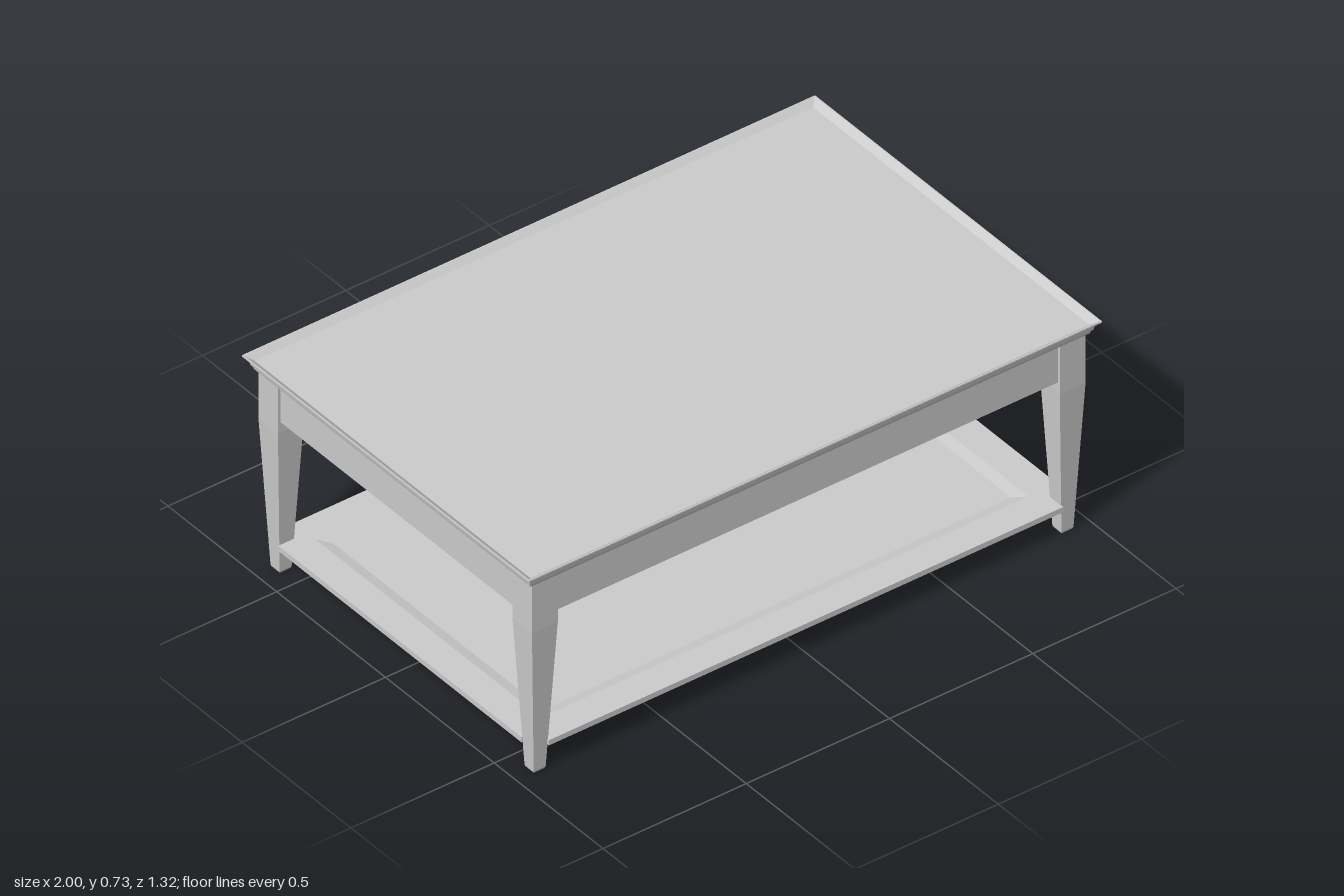
import * as THREE from 'three';

const material = new THREE.MeshStandardMaterial({ color: 0xcccccc, flatShading: true });

// Solid through rectangular rings [halfX, halfZ, y], capped at both ends.
function loftRects(rings) {
  const corners = [[1, 1], [1, -1], [-1, -1], [-1, 1]];
  const pos = [];
  const put = (r, j) => pos.push(corners[j % 4][0] * r[0], r[2], corners[j % 4][1] * r[1]);
  const quad = (a, b, c, d) => [a, b, c, a, c, d].forEach(([r, j]) => put(r, j));
  for (let i = 0; i < rings.length - 1; i++) {
    const lo = rings[i], hi = rings[i + 1];
    for (let j = 0; j < 4; j++) quad([lo, j], [lo, j + 1], [hi, j + 1], [hi, j]);
  }
  const first = rings[0], last = rings[rings.length - 1];
  quad([first, 3], [first, 2], [first, 1], [first, 0]);
  quad([last, 0], [last, 1], [last, 2], [last, 3]);
  const geo = new THREE.BufferGeometry();
  geo.setAttribute('position', new THREE.Float32BufferAttribute(pos, 3));
  geo.computeVertexNormals();
  return geo;
}

export function createModel() {
  const table = new THREE.Group();
  table.name = 'coffeeTable';
  const add = (name, geo, x = 0, y = 0, z = 0) => {
    const mesh = new THREE.Mesh(geo, material);
    mesh.name = name;
    mesh.position.set(x, y, z);
    table.add(mesh);
    return mesh;
  };

  // Tabletop: moulded edge, then a rim sloping in to the sunken panel
  const edge = [
    [0.024, 0.68], [0.022, 0.688], [0.017, 0.693], [0.015, 0.704],
    [0.011, 0.712], [0.003, 0.718], [0, 0.72], [0, 0.725],
    [0.004, 0.725], [0.025, 0.709], [0.03, 0.709],
  ];
  add('tabletop', loftRects(edge.map(([inset, y]) => [1 - inset, 0.66 - inset, y])));

  // Square legs, straight beside the apron and tapered below
  const leg = loftRects([
    [0.019, 0.019, 0], [0.021, 0.021, 0.006], [0.045, 0.045, 0.51], [0.045, 0.045, 0.68],
  ]);
  for (const sx of [-1, 1]) {
    for (const sz of [-1, 1]) {
      add(`${sz > 0 ? 'front' : 'back'}${sx > 0 ? 'Left' : 'Right'}Leg`, leg, sx * 0.921, 0, sz * 0.584);
    }
  }

  // Aprons between the legs
  const longApron = new THREE.BoxGeometry(1.756, 0.136, 0.07);
  const shortApron = new THREE.BoxGeometry(0.07, 0.136, 1.08);
  for (const s of [-1, 1]) {
    add(s > 0 ? 'frontApron' : 'backApron', longApron, 0, 0.613, s * 0.585);
    add(s > 0 ? 'leftApron' : 'rightApron', shortApron, s * 0.922, 0.613, 0);
  }

  // Shelf frame, notched around the legs
  const ox = 0.95, oz = 0.617, nx = 0.898, nz = 0.56, hx = 0.85, hz = 0.52;
  const toPoints = (list) => list.map(([x, z]) => new THREE.Vector2(x, z));
  const outline = new THREE.Shape(toPoints([
    [nx, -oz], [nx, -nz], [ox, -nz], [ox, nz], [nx, nz], [nx, oz],
    [-nx, oz], [-nx, nz], [-ox, nz], [-ox, -nz], [-nx, -nz], [-nx, -oz],
  ]));
  outline.holes.push(new THREE.Path(toPoints([[hx, hz], [hx, -hz], [-hx, -hz], [-hx, hz]])));
  const frame = new THREE.ExtrudeGeometry(outline, { depth: 0.018, bevelEnabled: false });
  frame.rotateX(-Math.PI / 2);
  add('shelfFrame', frame, 0, 0.084, 0);

  // Shelf panel with a shallow sloping border
  add('shelfPanel', loftRects([
    [hx, hz, 0.084], [hx, hz, 0.102], [hx - 0.035, hz - 0.035, 0.094],
  ]));

  return table;
}
